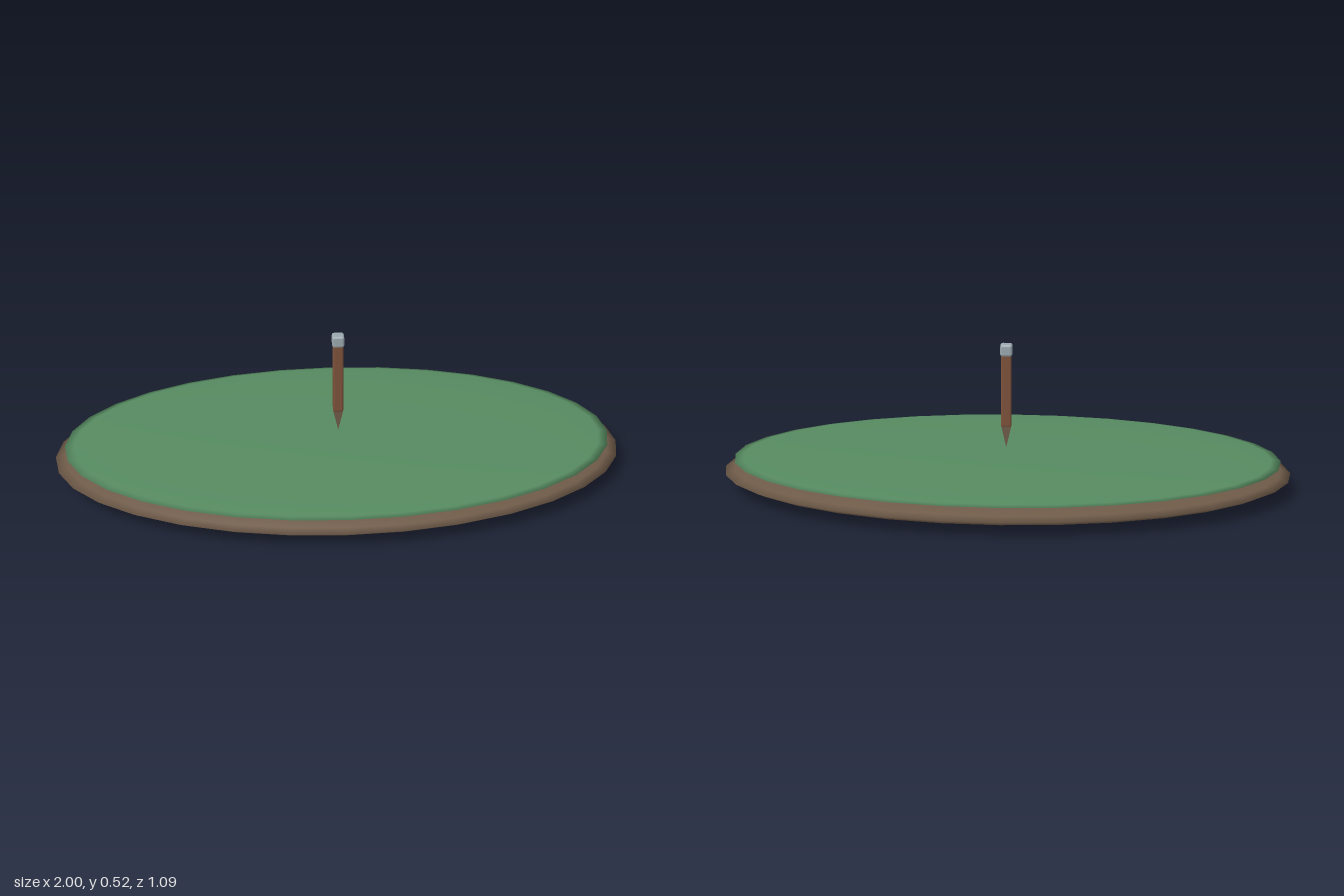
import * as THREE from 'three';
import { RoundedBoxGeometry } from 'three/addons/geometries/RoundedBoxGeometry.js';

const material = (name, color) => {
  const m = new THREE.MeshStandardMaterial({ color });
  m.name = name;
  return m;
};

export function createModel() {
  const soil = material('soil brown', 0x6e5a48);
  const grass = material('grass green', 0x568a60);
  const wood = material('wood brown', 0x7d523a);
  const metal = material('pale grey', 0x9aa8ae);

  const model = new THREE.Group();
  model.name = 'groundPatchWithStake';
  const add = (name, geometry, mat, y, parent = model) => {
    const mesh = new THREE.Mesh(geometry, mat);
    mesh.name = name;
    mesh.position.y = y;
    parent.add(mesh);
    return mesh;
  };

  // Flattened oval mounds: soil below, thin grass layer above
  const mound = (rx, ry, rz) => new THREE.SphereGeometry(1, 32, 12).scale(rx, ry, rz);
  add('soilBase', mound(1, 0.058, 0.545), soil, 0.058);
  add('grassTop', mound(0.965, 0.019, 0.525), grass, 0.102);

  // Stake hovering over the middle of the grass
  const stake = new THREE.Group();
  stake.name = 'stake';
  model.add(stake);
  add('stakeShaft', new RoundedBoxGeometry(0.036, 0.26, 0.036, 2, 0.006), wood, 0.35, stake);
  add('stakeCap', new RoundedBoxGeometry(0.042, 0.042, 0.042, 2, 0.008), metal, 0.496, stake);

  // Wedge-shaped point, tapering across x only
  const wedge = new THREE.Shape([
    new THREE.Vector2(-0.018, 0.078),
    new THREE.Vector2(0, 0),
    new THREE.Vector2(0.018, 0.078),
  ]);
  const tip = new THREE.ExtrudeGeometry(wedge, { depth: 0.022, bevelEnabled: false });
  tip.translate(0, 0, -0.011);
  add('stakeTip', tip, soil, 0.144, stake);

  return model;
}
